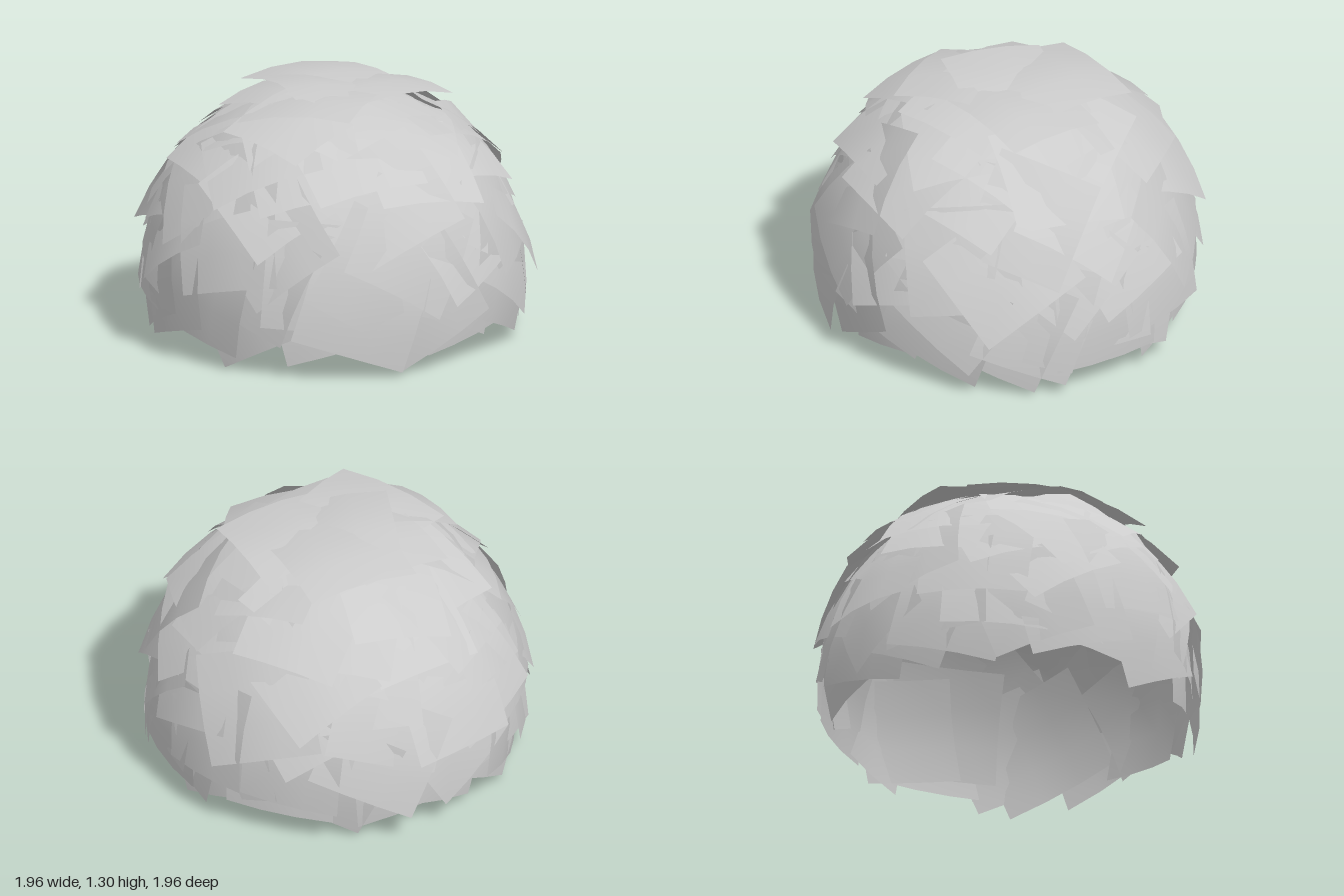
import * as THREE from 'three';
import { mergeGeometries } from 'three/addons/utils/BufferGeometryUtils.js';

// Small seeded generator returning -1..1
function makeJitter(seed) {
  return () => {
    seed = (seed * 16807) % 2147483647;
    return (seed / 2147483647) * 2 - 1;
  };
}

// One bowed leaf card, facing +z, slightly flatter than the dome so its corners stand out
function leafCard(width, height) {
  const card = new THREE.PlaneGeometry(width, height, 3, 3);
  const p = card.attributes.position;
  for (let i = 0; i < p.count; i++) {
    const x = p.getX(i), y = p.getY(i);
    p.setZ(i, -0.38 * (x * x + y * y));
  }
  card.computeVertexNormals();
  return card;
}

export function createModel() {
  const group = new THREE.Group();
  group.name = 'leafyDome';
  const jitter = makeJitter(31337);
  const material = new THREE.MeshStandardMaterial({ color: 0xcccccc, side: THREE.DoubleSide });
  const centreY = 0.37;

  // Overlapping rings: [elevation and its spread in degrees, number of cards, sideways roll]
  const rings = [
    [0, 0.5, 20, 0.5], [6, 2, 14, 0.6], [19, 3, 16, 0.8], [33, 3, 14, 0.8],
    [47, 3, 12, 0.8], [61, 3, 9, 0.8], [76, 3, 5, 0.8], [90, 0, 1, 0.8],
  ];

  rings.forEach(([elevation, spread, count, rollRange], ring) => {
    const cards = [];
    for (let i = 0; i < count; i++) {
      const azimuth = ((i + (ring % 2) * 0.5 + jitter() * 0.3) / count) * Math.PI * 2;
      const lift = THREE.MathUtils.degToRad(elevation + jitter() * spread);
      const card = leafCard(0.56 + jitter() * 0.05, 0.54 + jitter() * 0.03);
      card.rotateZ(jitter() * rollRange);
      // Lower edges stand out like shingles, upper edges tuck in
      card.rotateX(-0.11 + jitter() * 0.09);
      card.rotateY(jitter() * 0.12);
      card.translate(0, 0, 0.91 + jitter() * 0.03);
      card.rotateX(-lift);
      card.rotateY(azimuth);
      card.translate(0, centreY, 0);
      cards.push(card);
    }
    const mesh = new THREE.Mesh(mergeGeometries(cards), material);
    mesh.name = count === 1 ? 'crownLeaf' : `leafRing${ring + 1}`;
    group.add(mesh);
  });
  return group;
}
